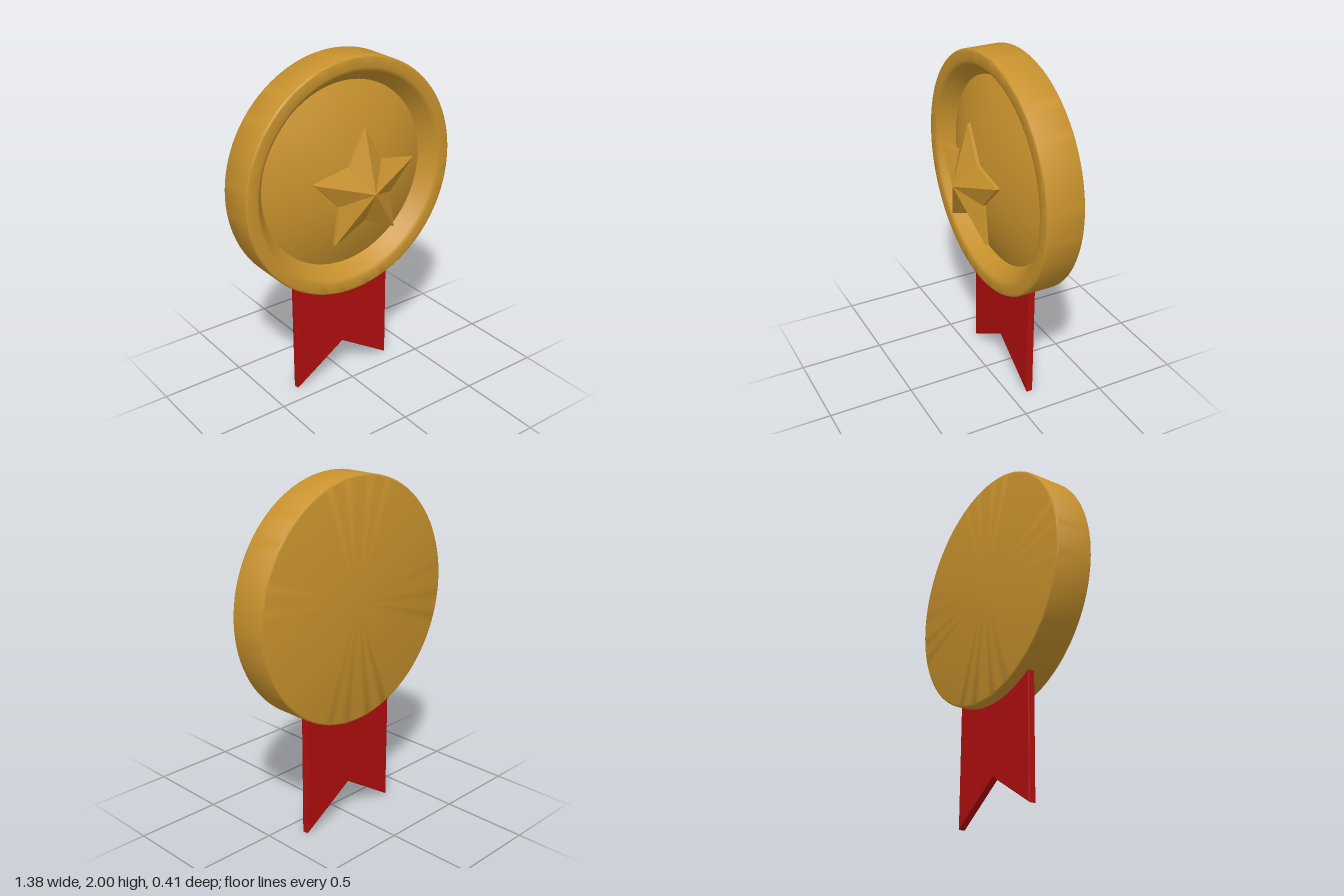
import * as THREE from 'three';
import { toCreasedNormals } from 'three/addons/utils/BufferGeometryUtils.js';

const gold = new THREE.MeshStandardMaterial({ color: 0xc8922d });
const goldFlat = new THREE.MeshStandardMaterial({ color: 0xc8922d, flatShading: true });
const red = new THREE.MeshStandardMaterial({ color: 0xb00e0e });

function addPart(group, name, geometry, material, x, y, z) {
  const mesh = new THREE.Mesh(geometry, material);
  mesh.name = name;
  mesh.position.set(x, y, z);
  group.add(mesh);
}

// Round disc with softened edges, a sloped inner rim and a conical face
function discGeometry() {
  const R = 0.69, back = -0.205, front = 0.018, b = 0.012;
  const points = [new THREE.Vector2(0, back)];
  const corner = (cy, from) => {
    for (let i = 0; i <= 3; i++) {
      const a = from + (i / 3) * Math.PI / 2;
      points.push(new THREE.Vector2(R - b + b * Math.cos(a), cy + b * Math.sin(a)));
    }
  };
  corner(back + b, -Math.PI / 2);
  corner(front - b, 0);
  [[0.625, front], [0.612, 0.014], [0.602, 0.004], [0.54, -0.08], [0, 0.165]]
    .forEach(([r, z]) => points.push(new THREE.Vector2(r, z)));
  return toCreasedNormals(new THREE.LatheGeometry(points, 96).rotateX(Math.PI / 2), 0.85);
}

// Faceted five-pointed star: a thin edge rising to a raised centre
function starGeometry(outer, inner, edge, height) {
  const rim = (i, z) => {
    const a = Math.PI / 2 + (i * Math.PI) / 5;
    const r = i % 2 ? inner : outer;
    return [r * Math.cos(a), r * Math.sin(a), z];
  };
  const positions = [];
  for (let i = 0; i < 10; i++) {
    const a = rim(i, edge), b = rim(i + 1, edge);
    const c = rim(i, 0), d = rim(i + 1, 0);
    positions.push(...a, ...b, 0, 0, height); // front facet
    positions.push(...c, ...d, ...b, ...c, ...b, ...a); // edge
    positions.push(...d, ...c, 0, 0, 0); // back
  }
  const geometry = new THREE.BufferGeometry();
  geometry.setAttribute('position', new THREE.Float32BufferAttribute(positions, 3));
  geometry.computeVertexNormals();
  return geometry;
}

// Ribbon tail with a V-shaped notch and slightly softened edges
function ribbonGeometry() {
  const bevel = 0.005, w = 0.33;
  const shape = new THREE.Shape([
    [-w, 0], [0, 0.21], [w, 0], [w, 0.71], [-w, 0.71],
  ].map(([x, y]) => new THREE.Vector2(x, y)));
  return new THREE.ExtrudeGeometry(shape, {
    depth: 0.04 - 2 * bevel, bevelEnabled: true, bevelSize: bevel,
    bevelThickness: bevel, bevelOffset: -bevel, bevelSegments: 2,
  }).translate(0, 0, bevel);
}

export function createModel() {
  const group = new THREE.Group();
  group.name = 'medal';
  addPart(group, 'disc', discGeometry(), gold, 0, 1.31, 0);
  addPart(group, 'star', starGeometry(0.35, 0.184, 0.018, 0.113), goldFlat, 0.004, 1.285, 0.092);
  addPart(group, 'ribbon', ribbonGeometry(), red, 0, 0, -0.14);
  return group;
}
